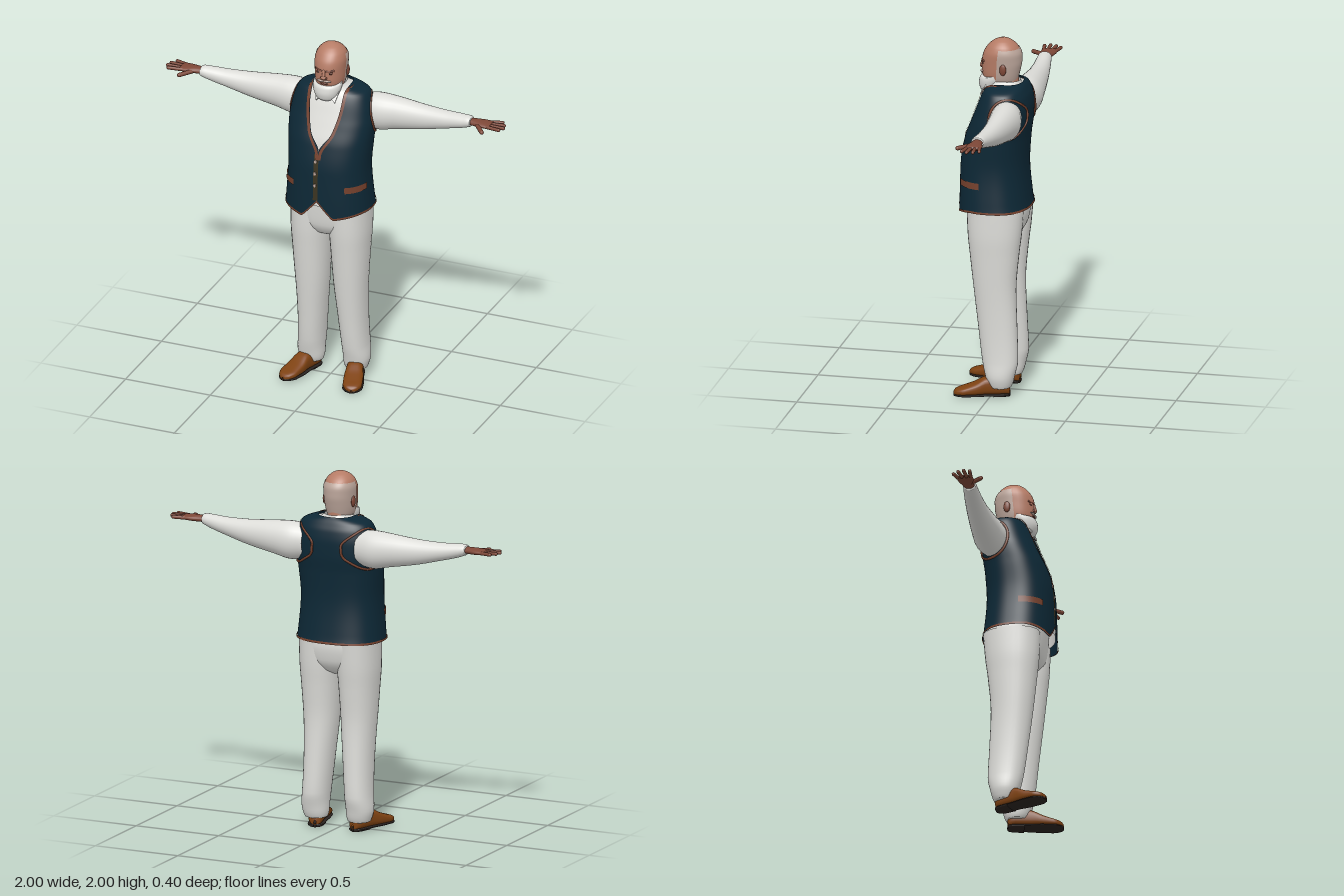
import * as THREE from 'three';
import { mergeVertices } from 'three/addons/utils/BufferGeometryUtils.js';

const mat = (name, color) => {
  const m = new THREE.MeshStandardMaterial({ color, side: THREE.DoubleSide });
  m.name = name;
  return m;
};
const { lerp, clamp } = THREE.MathUtils;
const V = (x, y, z) => new THREE.Vector3(x, y, z);
const TAU = Math.PI * 2;

// Smooth, overshoot-free lookup in a table keyed by its first column
function at(tb, t) {
  let i = 0;
  while (i < tb.length - 2 && t > tb[i + 1][0]) i++;
  const a = tb[i], b = tb[i + 1], h = b[0] - a[0], f = clamp((t - a[0]) / h, 0, 1);
  const sec = (k, j) => (tb[k + 1][j] - tb[k][j]) / (tb[k + 1][0] - tb[k][0]);
  const slope = (k, j) => {
    if (k === 0) return sec(0, j);
    if (k === tb.length - 1) return sec(k - 1, j);
    const p = sec(k - 1, j), q = sec(k, j);
    return p * q <= 0 ? 0 : (2 * p * q) / (p + q);
  };
  const f2 = f * f, f3 = f2 * f;
  return a.map((_, j) => (j === 0 ? lerp(a[0], b[0], f)
    : a[j] * (2 * f3 - 3 * f2 + 1) + b[j] * (3 * f2 - 2 * f3)
      + h * (slope(i, j) * (f3 - 2 * f2 + f) + slope(i + 1, j) * (f3 - f2))));
}

// Surface from a function of u and v, optionally closed around u
function grid(nu, nv, fn, closed = false) {
  const pos = [], idx = [], w = closed ? nu : nu + 1;
  for (let j = 0; j <= nv; j++) for (let i = 0; i < w; i++) pos.push(...fn(i / nu, j / nv).toArray());
  for (let j = 0; j < nv; j++) for (let i = 0; i < nu; i++) {
    const a = j * w + i, b = j * w + ((i + 1) % w), c = b + w, d = a + w;
    idx.push(a, b, c, a, c, d);
  }
  const g = new THREE.BufferGeometry();
  g.setAttribute('position', new THREE.Float32BufferAttribute(pos, 3));
  g.setIndex(idx);
  g.computeVertexNormals();
  return g;
}

// Loft through a table; ring(row, angle) gives the cross-section
function loft(tb, ring, nu = 32, per = 4) {
  const n = tb.length - 1;
  return grid(nu, n * per, (u, v) => {
    const k = Math.min(Math.floor(v * n + 1e-6), n - 1);
    return ring(at(tb, lerp(tb[k][0], tb[k + 1][0], v * n - k)), u * TAU);
  }, true);
}

// Upright ring from a row [y, centre x, half width, front z, back z]
const pw = (s, n) => Math.sign(s) * Math.abs(s) ** (2 / n);
const upright = (n = 2, off = 0) => ([y, cx, rx, zf, zb], a) => V(
  cx + (rx + off) * pw(Math.sin(a), n), y, (zf + zb) / 2 + ((zf - zb) / 2 + off) * pw(Math.cos(a), n));

const TORSO = [
  [1.02, 0, 0.238, 0.185, -0.192], [1.1, 0, 0.23, 0.185, -0.178], [1.3, 0, 0.217, 0.18, -0.162],
  [1.45, 0, 0.226, 0.155, -0.17], [1.55, 0, 0.232, 0.118, -0.182], [1.62, 0, 0.224, 0.09, -0.184],
  [1.68, 0, 0.208, 0.066, -0.176], [1.715, 0, 0.188, 0.048, -0.16], [1.735, 0, 0.145, 0.035, -0.148],
  [1.75, 0, 0.088, 0.03, -0.135], [1.765, 0, 0.07, 0.03, -0.128]];
const N = 2.4;
const onTorso = (a, y, off) => {
  const p = upright(N, off)(at(TORSO, y), a);
  p.y = y + off * clamp((y - 1.6) / 0.12, 0, 1);
  return p;
};
const HEAD = [
  [1.73, 0, 0.055, 0.05, -0.1], [1.78, 0, 0.077, 0.078, -0.115], [1.82, 0, 0.083, 0.083, -0.125],
  [1.87, 0, 0.086, 0.083, -0.134], [1.91, 0, 0.088, 0.076, -0.134], [1.95, 0, 0.078, 0.054, -0.116],
  [1.98, 0, 0.053, 0.022, -0.085], [1.994, 0, 0.026, -0.008, -0.056], [2, 0, 0.001, -0.03, -0.032]];

export function createModel() {
  const root = new THREE.Group();
  const navy = mat('vest navy', 0x0d2836), white = mat('white cloth', 0xdcdcd8), trim = mat('trim brown', 0x74402c);
  const skin = mat('skin', 0xb67c66), dark = mat('dark skin', 0x7d4737), hair = mat('grey hair', 0xbba59a);
  const leather = mat('shoe leather', 0x7e4212), sole = mat('sole', 0x2a2320), olive = mat('placket', 0x3a3320);

  const add = (name, geo, m, parent = root) => {
    const mesh = new THREE.Mesh(geo, m);
    mesh.name = name;
    parent.add(mesh);
    return mesh;
  };
  // Same part on both sides
  const pair = (name, geo, m, parent = root) => {
    const g = geo.index ? geo : mergeVertices(geo);
    add(name + 'Left', g, m, parent);
    const r = g.clone().scale(-1, 1, 1);
    r.setIndex(Array.from(g.index.array).reverse());
    add(name + 'Right', r, m, parent);
  };
  const ball = (x, y, z, rx, ry, rz) => new THREE.SphereGeometry(1, 20, 14).scale(rx, ry, rz).translate(x, y, z);
  const capsule = (a, b, r) => {
    const d = b.clone().sub(a), g = new THREE.CapsuleGeometry(r, d.length(), 5, 10);
    g.applyQuaternion(new THREE.Quaternion().setFromUnitVectors(V(0, 1, 0), d.normalize()));
    return g.translate(...a.clone().add(b).multiplyScalar(0.5).toArray());
  };

  // Shirt body and vest with a V neckline
  add('shirt', loft(TORSO.slice(1), upright(N), 48), white);
  const neckW = [[1, 0], [1.4, 0], [1.53, 0.06], [1.68, 0.088], [1.76, 0.09]];
  const edge = (y, extra = 0) => Math.asin(Math.min(1, ((at(neckW, y)[1] + extra) / at(TORSO, y)[2]) ** (N / 2)));
  const hem = (p) => {
    const ax = Math.abs(p.x);
    if (p.z < 0) return 1.06;
    return ax < 0.09 ? lerp(1.13, 1.03, ax / 0.09) : lerp(1.03, 1.06, Math.min(1, (ax - 0.09) / 0.14));
  };
  const hemmed = (a, y, v, off) => onTorso(a, y + (hem(onTorso(a, 1.06, off)) - 1.03) * (1 - v) ** 3, off);
  add('vest', grid(96, 56, (u, v) => {
    const y = lerp(1.03, 1.75, 1 - (1 - v) ** 1.5), e = edge(y);
    return hemmed(lerp(e, TAU - e, u), y, v, 0.01);
  }), navy);
  add('hemTrim', grid(120, 1, (u, v) => hemmed(u * TAU, 1.03 + v * 0.012, 0, 0.014), true), trim);
  pair('necklineTrim', grid(2, 30, (u, v) => {
    const y = lerp(1.38, 1.745, v);
    return onTorso(edge(y, u * 0.016), y, 0.014);
  }), trim);
  pair('pocket', grid(12, 2, (u, v) => onTorso(lerp(0.62, 1.42, u), 1.195 + v * 0.036, 0.015)), trim);
  add('placket', grid(2, 12, (u, v) => onTorso(lerp(-0.06, 0.01, u), lerp(1.14, 1.41, v), 0.014)), olive);
  for (const y of [1.37, 1.3, 1.23]) {
    const p = onTorso(-0.03, y, 0.016);
    add('button', new THREE.CylinderGeometry(0.009, 0.009, 0.008, 12).rotateX(Math.PI / 2).translate(p.x, p.y, p.z), hair);
  }

  // Sleeves: rows of [x, centre y, half height, centre z, half depth]
  const ARM = [[0.16, 1.6, 0.095, -0.095, 0.08], [0.25, 1.598, 0.106, -0.104, 0.088], [0.35, 1.605, 0.093, -0.106, 0.078],
    [0.5, 1.612, 0.072, -0.102, 0.062], [0.65, 1.628, 0.05, -0.093, 0.049], [0.75, 1.643, 0.038, -0.084, 0.041],
    [0.795, 1.65, 0.028, -0.08, 0.036], [0.8, 1.65, 0.012, -0.08, 0.02]];
  const across = ([x, y, ry, z, rz], a) => V(x, y + ry * Math.cos(a), z + rz * Math.sin(a));
  pair('sleeve', loft(ARM, across, 28), white);

  // Armhole edging laid on the side of the vest
  const loop = [];
  for (let i = 0; i < 28; i++) {
    const a = (i / 28) * TAU, y = 1.595 + 0.112 * Math.cos(a), z = -0.1 + 0.092 * Math.sin(a);
    const [, , rx, zf, zb] = at(TORSO, y), d = Math.abs((z - (zf + zb) / 2) / ((zf - zb) / 2 + 0.01));
    loop.push(V((rx + 0.01) * (1 - Math.min(d, 0.96) ** N) ** (1 / N), y, z));
  }
  pair('armholeTrim', new THREE.TubeGeometry(new THREE.CatmullRomCurve3(loop, true), 56, 0.007, 6, true), trim);

  // Hands
  pair('palm', loft([[0.78, 1.65, 0.018, -0.08, 0.026], [0.82, 1.65, 0.019, -0.08, 0.032], [0.87, 1.65, 0.017, -0.08, 0.044],
    [0.91, 1.65, 0.013, -0.08, 0.045], [0.92, 1.65, 0.002, -0.08, 0.03]], across, 20), dark);
  [[-0.113, 0.96, -0.128], [-0.091, 0.982, -0.097], [-0.068, 0.99, -0.064], [-0.047, 0.975, -0.034]].forEach(([z0, x1, z1]) =>
    pair('finger', capsule(V(0.895, 1.65, z0), V(x1, 1.652, z1), 0.01), dark));
  pair('thumb', capsule(V(0.835, 1.648, -0.06), V(0.893, 1.642, 0.008), 0.012), dark);

  // Trousers
  add('trouserSeat', loft([[0.87, 0, 0.03, 0.05, -0.08], [0.9, 0, 0.12, 0.1, -0.13], [0.96, 0, 0.205, 0.132, -0.165],
    [1.04, 0, 0.222, 0.143, -0.178], [1.12, 0, 0.215, 0.15, -0.165]], upright(2.4), 40), white);
  pair('trouserLeg', loft([[0.048, 0.13, 0.03, -0.02, -0.09], [0.055, 0.13, 0.062, 0.01, -0.11], [0.12, 0.134, 0.074, 0.032, -0.13],
    [0.2, 0.128, 0.073, 0.05, -0.146], [0.37, 0.119, 0.078, 0.072, -0.14], [0.6, 0.113, 0.092, 0.1, -0.132],
    [0.8, 0.113, 0.104, 0.122, -0.148], [0.92, 0.113, 0.111, 0.134, -0.163], [1.06, 0.112, 0.112, 0.14, -0.175]], upright(2.2)), white);

  // Shoes: rows of [z, half width, top height], turned outwards
  const turn = (g) => g.rotateY(0.29).translate(0.158, 0, 0.045);
  const SHOE = [[-0.152, 0.006, 0.04], [-0.145, 0.03, 0.08], [-0.11, 0.043, 0.11], [-0.03, 0.045, 0.112], [0.04, 0.053, 0.08],
    [0.1, 0.053, 0.058], [0.14, 0.037, 0.045], [0.153, 0.018, 0.034], [0.157, 0.003, 0.026]];
  const slab = (lo, hi, grow) => ([z, w, top], a) => {
    const s = Math.sin(a), h = hi ?? top;
    return V((w + grow) * pw(Math.cos(a), 2.8), lo + (h - lo) * (0.5 + 0.5 * pw(s, 2.8)), z);
  };
  pair('shoe', turn(loft(SHOE, slab(0.012, null, 0), 28)), leather);
  pair('sole', turn(loft(SHOE, slab(0.006, 0.02, 0.003), 28)), sole);
  pair('heel', turn(loft(SHOE.slice(0, 4).map(([z, w, t]) => [Math.min(z, -0.06), w, t]), slab(0, 0.02, 0.002), 28)), sole);

  // Shirt collar
  add('collar', grid(36, 3, (u, v) => upright()([lerp(1.715, 1.768, v), 0, lerp(0.088, 0.07, v), lerp(0.06, 0.045, v),
    lerp(-0.145, -0.132, v)], u * TAU), true), white);
  const flap = new THREE.Shape([[0.005, 0.02], [0.075, 0.035], [0.052, -0.035]].map((p) => new THREE.Vector2(...p)));
  pair('collarFlap', new THREE.ExtrudeGeometry(flap, { depth: 0.008, bevelEnabled: false }).rotateX(-0.5).rotateY(0.25)
    .translate(0, 1.715, 0.072), white);

  // Head, set slightly off centre
  const head = new THREE.Group();
  head.name = 'head';
  head.position.x = -0.008;
  root.add(head);
  add('neck', loft([[1.7, 0, 0.064, 0.03, -0.12], [1.8, 0, 0.064, 0.03, -0.118]], upright()), skin, head);
  add('skull', loft(HEAD, upright(2.1), 36), skin, head);
  add('croppedHair', grid(36, 16, (u, v) => {
    const a = lerp(1.5, TAU - 1.5, u);
    return upright(2.1, 0.003)(at(HEAD, lerp(1.76, 1.945, v)), a);
  }), hair, head);
  const beard = loft([[1.687, 0, 0.008, 0.06, 0.04], [1.692, 0, 0.036, 0.078, 0.02], [1.71, 0, 0.062, 0.093, -0.02],
    [1.74, 0, 0.076, 0.1, -0.045], [1.765, 0, 0.081, 0.097, -0.05], [1.782, 0, 0.08, 0.088, -0.048],
    [1.786, 0, 0.06, 0.065, -0.03]], upright(2.1));
  const bp = beard.attributes.position;
  for (let i = 0; i < bp.count; i++) bp.setY(i, bp.getY(i) + 0.26 * Math.max(0, 0.05 - bp.getZ(i)));
  beard.computeVertexNormals();
  add('beard', beard, white, head);

  // Face
  add('noseBridge', capsule(V(0, 1.872, 0.079), V(0, 1.84, 0.087), 0.008), skin, head);
  add('noseTip', ball(0, 1.834, 0.086, 0.015, 0.011, 0.012), skin, head);
  pair('nostril', ball(0.012, 1.831, 0.081, 0.008, 0.008, 0.009), dark, head);
  pair('moustache', ball(0.018, 1.811, 0.077, 0.024, 0.007, 0.012).rotateZ(0), hair, head);
  add('mouth', ball(0, 1.796, 0.078, 0.024, 0.006, 0.008), dark, head);
  pair('brow', capsule(V(0.016, 1.872, 0.079), V(0.05, 1.874, 0.063), 0.006), dark, head);
  pair('eyeSocket', ball(0.033, 1.859, 0.07, 0.015, 0.007, 0.006), dark, head);
  pair('eye', ball(0.033, 1.858, 0.075, 0.005, 0.004, 0.003), sole, head);
  pair('ear', ball(0.086, 1.838, -0.05, 0.01, 0.032, 0.019), dark, head);
  return root;
}
